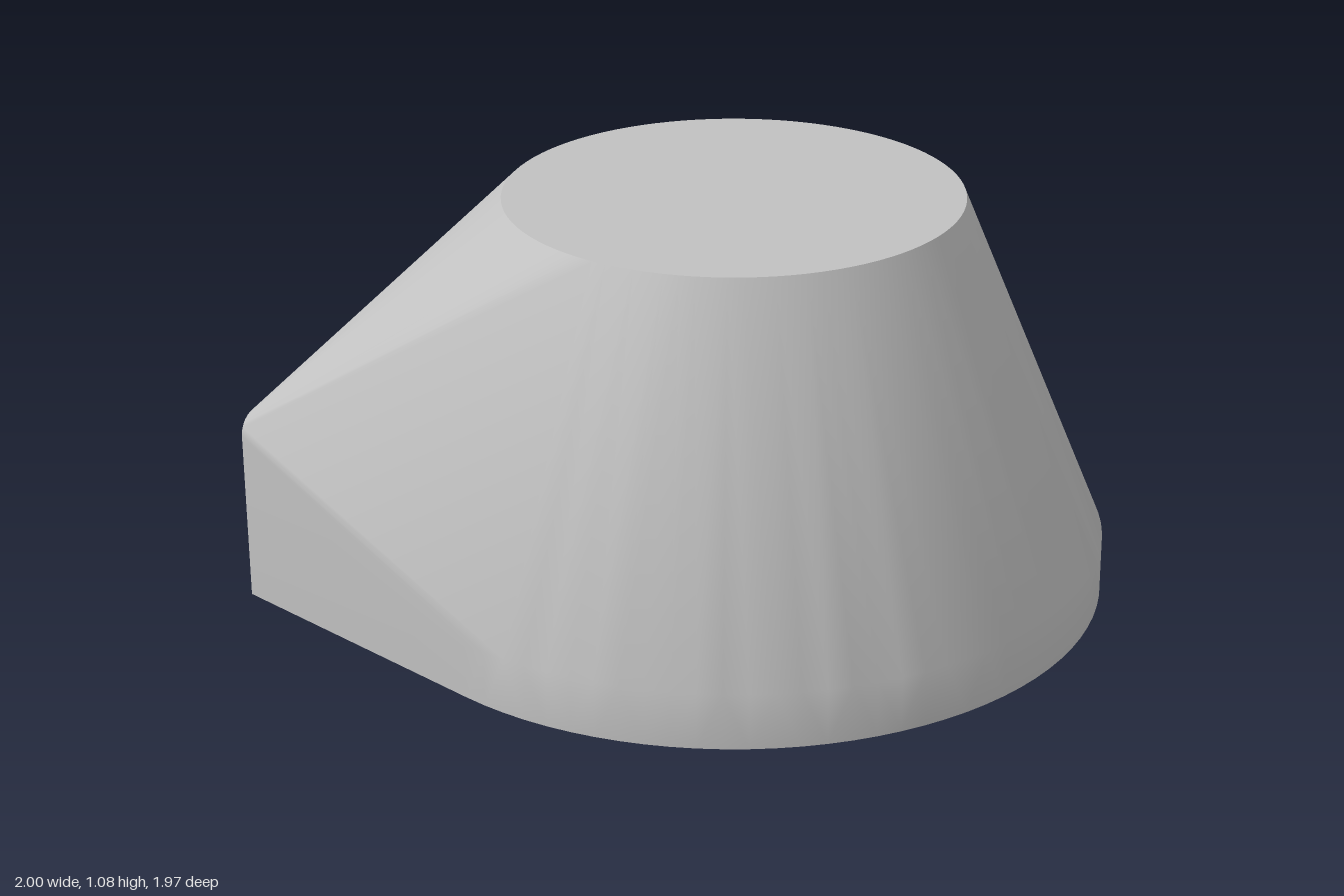
import * as THREE from 'three';
import { ConvexGeometry } from 'three/addons/geometries/ConvexGeometry.js';
import { toCreasedNormals } from 'three/addons/utils/BufferGeometryUtils.js';

const SEGMENTS = 96;
const CENTRE_X = 0.015;

// Horizontal circle of points at a given height
function ring(radius, y) {
  const points = [];
  for (let i = 0; i < SEGMENTS; i++) {
    const a = (i / SEGMENTS) * Math.PI * 2;
    points.push(new THREE.Vector3(CENTRE_X + radius * Math.cos(a), y, radius * Math.sin(a)));
  }
  return points;
}

// Upright end plate with two rounded upper corners
function endPlate(x, halfWidth, height, corner) {
  const points = [];
  for (const side of [-1, 1]) {
    points.push(new THREE.Vector3(x, 0, side * halfWidth));
    for (let i = 0; i <= 8; i++) {
      const a = (i / 8) * Math.PI / 2;
      points.push(new THREE.Vector3(
        x,
        height - corner + corner * Math.sin(a),
        side * (halfWidth - corner + corner * Math.cos(a))
      ));
    }
  }
  return points;
}

export function createModel() {
  const group = new THREE.Group();
  group.name = 'taperedHousing';

  const grey = new THREE.MeshStandardMaterial({ color: 0xc0c0c0 });
  grey.name = 'light grey';

  // One skin stretched over the base rim, the round top and the end plate
  const hull = new ConvexGeometry([
    ...ring(0.985, 0),
    ...ring(0.985, 0.15),
    ...ring(0.6, 1.08),
    ...endPlate(-1, 0.8, 0.52, 0.06)
  ]);
  const body = new THREE.Mesh(toCreasedNormals(hull, THREE.MathUtils.degToRad(30)), grey);
  body.name = 'body';
  group.add(body);

  return group;
}
